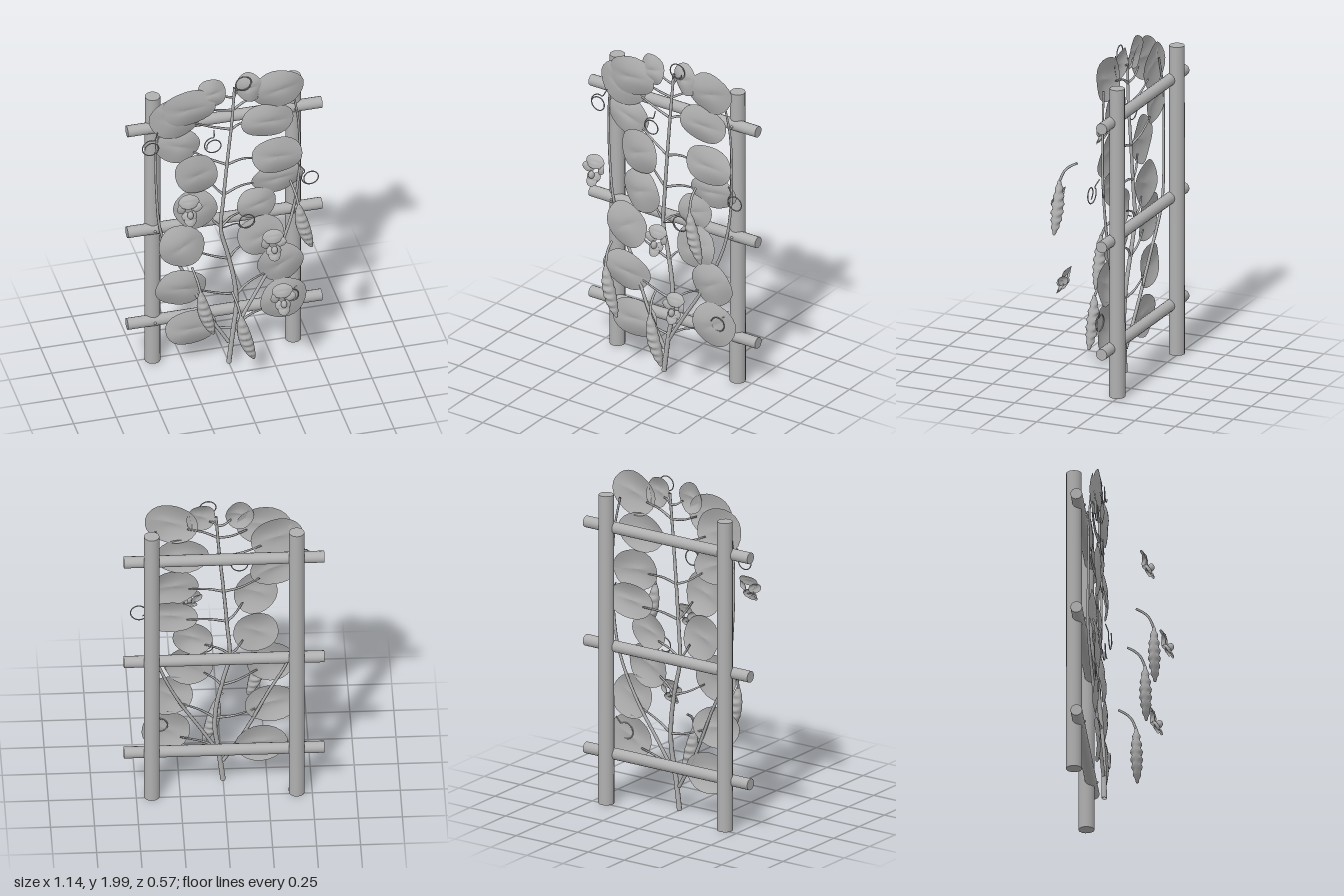
import * as THREE from 'three';

const V = (x, y, z) => new THREE.Vector3(x, y, z);

export function createModel() {
  const root = new THREE.Group();
  root.name = 'climbingPlantOnTrellis';
  const grey = new THREE.MeshStandardMaterial({ color: 0xb0b0b0, side: THREE.DoubleSide });
  grey.name = 'plainGrey';

  const add = (geo, name, parent = root) => {
    const m = new THREE.Mesh(geo, grey);
    m.name = name;
    parent.add(m);
    return m;
  };

  // tube along a smooth curve, tapering from r0 to r1
  const taperedTube = (curve, r0, r1, segs, sides = 7) => {
    const g = new THREE.TubeGeometry(curve, segs, 1, sides);
    const p = g.attributes.position, c = new THREE.Vector3(), v = new THREE.Vector3();
    for (let i = 0; i < p.count; i++) {
      const t = Math.floor(i / (sides + 1)) / segs;
      curve.getPointAt(t, c);
      v.fromBufferAttribute(p, i).sub(c).multiplyScalar(r0 + (r1 - r0) * t).add(c);
      p.setXYZ(i, v.x, v.y, v.z);
    }
    return g;
  };
  const path = (pts) => new THREE.CatmullRomCurve3(pts.map((p) => V(...p)));

  // Trellis: two posts, three rails, small pegs at the joints
  for (const s of [-1, 1]) {
    const post = add(new THREE.CylinderGeometry(0.044, 0.046, 1.85, 14), s > 0 ? 'leftPost' : 'rightPost');
    post.position.set(s * 0.412, 0.935, -0.237);
  }
  for (const y of [0.305, 0.95, 1.66]) {
    const rail = add(new THREE.CylinderGeometry(0.034, 0.034, 1.14, 14), 'rail');
    rail.rotation.z = Math.PI / 2;
    rail.position.set(0, y, -0.21);
    for (const s of [-1, 1]) {
      add(new THREE.SphereGeometry(0.008, 8, 6), 'peg').position.set(s * 0.412, y, -0.176);
    }
  }

  // Stems
  const stem = path([[0, 0.01, -0.1], [0.026, 0.23, -0.105], [0.047, 0.39, -0.115], [0.04, 0.55, -0.125],
    [0, 0.76, -0.14], [-0.035, 0.92, -0.145], [-0.022, 1.13, -0.14], [0, 1.4, -0.135],
    [0.024, 1.66, -0.13], [0.042, 1.91, -0.135]]);
  add(taperedTube(stem, 0.015, 0.008, 60, 8), 'mainStem');
  add(taperedTube(path([[0, 0.15, -0.105], [-0.12, 0.36, -0.12], [-0.25, 0.65, -0.145], [-0.375, 0.92, -0.16],
    [-0.41, 1.24, -0.155], [-0.41, 1.6, -0.15], [-0.38, 1.78, -0.14]]), 0.011, 0.006, 40), 'rightSideStem');
  add(taperedTube(path([[0.03, 0.22, -0.105], [0.127, 0.39, -0.12], [0.275, 0.65, -0.145], [0.38, 0.92, -0.16],
    [0.425, 1.24, -0.155], [0.42, 1.6, -0.15], [0.385, 1.82, -0.14]]), 0.011, 0.006, 40), 'leftSideStem');

  // stem point at a given height
  const stemPts = stem.getSpacedPoints(200);
  const stemAt = (y) => stemPts.reduce((a, b) => (Math.abs(b.y - y) < Math.abs(a.y - y) ? b : a));

  // Round, gently domed and rippled sheet, facing +z
  const sheet = (rx, ry, dome, ripple, phase) => {
    const g = new THREE.RingGeometry(0, 1, 24, 6);
    const p = g.attributes.position;
    for (let i = 0; i < p.count; i++) {
      const x = p.getX(i), y = p.getY(i), r = Math.hypot(x, y), a = Math.atan2(y, x);
      const z = dome * (0.4 - r * r) + ripple * r * r * Math.sin(3 * a + phase) - ripple * Math.exp(-y * y * 40) * (1 - r);
      p.setXYZ(i, x * rx * (1 + 0.03 * Math.cos(2 * a + phase)), y * ry, z);
    }
    g.computeVertexNormals();
    return g;
  };

  // Leaves: x, y, half width, half height, z, roll, node height on the stem
  const leaves = [
    [0.327, 0.39, 0.138, 0.138, -0.11, 0.5, 0.25], [0.31, 0.64, 0.134, 0.137, -0.115, 0.5, 0.47],
    [0.195, 0.85, 0.14, 0.133, -0.118, 0.4, 0.71], [0.175, 1.06, 0.115, 0.11, -0.14, 0.3, 0.94],
    [0.3, 1.22, 0.15, 0.105, -0.145, 0.1, 1.17], [0.29, 1.4, 0.153, 0.122, -0.11, -0.1, 1.38],
    [0.237, 1.64, 0.158, 0.116, -0.13, -0.05, 1.62], [0.295, 1.86, 0.15, 0.13, -0.115, 0.25, 1.76],
    [0.127, 1.9, 0.078, 0.1, -0.12, 0.3, 1.84],
    [-0.216, 0.28, 0.155, 0.122, -0.11, 0, 0.25], [-0.274, 0.565, 0.155, 0.123, -0.115, -0.2, 0.47],
    [-0.27, 0.86, 0.13, 0.145, -0.11, 0.5, 0.71], [-0.185, 1.09, 0.125, 0.14, -0.135, 0.3, 0.94],
    [-0.185, 1.35, 0.125, 0.143, -0.11, 0.3, 1.17], [-0.285, 1.545, 0.135, 0.115, -0.148, -0.4, 1.38],
    [-0.306, 1.75, 0.15, 0.14, -0.13, -0.3, 1.62], [-0.232, 1.825, 0.16, 0.125, -0.105, 0.1, 1.76],
    [-0.095, 1.905, 0.083, 0.096, -0.11, 0.2, 1.84],
  ];
  leaves.forEach(([x, y, rx, ry, z, roll, node], i) => {
    const leaf = add(sheet(rx, ry, 0.024, 0.007, i * 1.7), 'leaf');
    leaf.position.set(x, y, z);
    leaf.rotation.set(0.06 * Math.sin(i * 2.1), 0.06 * Math.cos(i * 1.3), roll);
    // stalk from the stem to the inner half of the leaf
    const a = stemAt(node), s = Math.sign(x);
    const end = V(x - s * rx * 0.6, y + (node - y) * 0.35, z - 0.018);
    const mid = a.clone().lerp(end, 0.45).add(V(0, s > 0 ? 0.015 : -0.01, -0.006));
    add(taperedTube(new THREE.CatmullRomCurve3([a, mid, end]), 0.008, 0.005, 12, 6), 'leafStalk');
  });

  // Tendrils: a curl at x, y and the point its tail leaves from
  const tendrils = [[0.085, 1.95, 0.042, 1.88], [-0.455, 1.59, -0.41, 1.68], [-0.09, 1.545, -0.08, 1.635],
    [0.48, 1.22, 0.42, 1.3], [0.365, 0.415, 0.42, 0.5], [0.105, 0.98, -0.025, 0.94]];
  tendrils.forEach(([x, y, tx, ty]) => {
    const a0 = Math.atan2(ty - y, tx - x), pts = [V(tx, ty, -0.13)];
    for (let k = 0; k <= 20; k++) {
      const a = a0 + (k / 20) * Math.PI * 2.6, r = 0.052 - 0.012 * (k / 20);
      pts.push(V(x + r * Math.cos(a), y + r * Math.sin(a), -0.115 + 0.02 * (k / 20)));
    }
    add(new THREE.TubeGeometry(new THREE.CatmullRomCurve3(pts), 60, 0.0035, 5), 'tendril');
  });

  // Pods: hanging, curved, with swellings along the front and back
  const addPod = (x, y, z) => {
    const pod = new THREE.Group();
    pod.name = 'pod';
    pod.position.set(x, y, z);
    const line = new THREE.QuadraticBezierCurve3(V(0, 0, 0), V(0.015, -0.17, 0), V(0.075, -0.31, 0));
    const g = new THREE.CylinderGeometry(1, 1, 1, 14, 56);
    const p = g.attributes.position, c = new THREE.Vector3();
    for (let i = 0; i < p.count; i++) {
      const t = 0.5 - p.getY(i);
      line.getPoint(t, c);
      const w = 0.004 + 0.036 * Math.pow(Math.sin(Math.PI * t), 0.65);
      const bump = 0.8 + 0.13 * Math.cos(t * Math.PI * 2 * 7);
      p.setXYZ(i, c.x + p.getX(i) * w, c.y, c.z + p.getZ(i) * w * bump);
    }
    g.computeVertexNormals();
    add(g, 'podBody', pod);
    add(taperedTube(path([[-0.025, 0.105, -0.1], [-0.018, 0.08, -0.055], [-0.01, 0.05, -0.025], [0, -0.01, 0]]),
      0.007, 0.008, 14), 'podStalk', pod);
    root.add(pod);
  };
  addPod(0.345, 1.235, 0.153);
  addPod(-0.23, 0.725, 0.153);
  addPod(0.025, 0.455, 0.08);

  // Flowers: broad upper petals, two wings and a lower keel
  const addFlower = (x, y, z) => {
    const f = new THREE.Group();
    f.name = 'flower';
    f.position.set(x, y, z);
    const petal = (name, px, py, pz, rx, ry, tilt, turn, roll) => {
      const m = add(sheet(rx, ry, 0.012, 0.003, px * 40), name, f);
      m.position.set(px, py, pz);
      m.rotation.set(tilt, turn, roll);
    };
    petal('upperPetal', 0, 0.05, -0.015, 0.06, 0.042, -0.5, 0, 0);
    for (const s of [-1, 1]) {
      petal('backPetal', s * 0.038, 0.01, -0.012, 0.038, 0.03, -0.25, s * -0.5, s * 0.4);
      petal('wingPetal', s * 0.025, -0.035, 0.008, 0.025, 0.032, -0.5, s * 0.5, s * -0.3);
    }
    petal('lowerPetal', 0, -0.055, 0.022, 0.034, 0.034, -0.6, 0, 0);
    const keel = add(new THREE.SphereGeometry(0.02, 12, 8), 'keel', f);
    keel.scale.set(0.9, 1.2, 1);
    keel.position.set(0, -0.02, 0.018);
    root.add(f);
  };
  addFlower(-0.3, 1.325, 0.175);
  addFlower(0.175, 1.045, 0.245);
  addFlower(0.248, 0.6, 0.175);

  return root;
}
